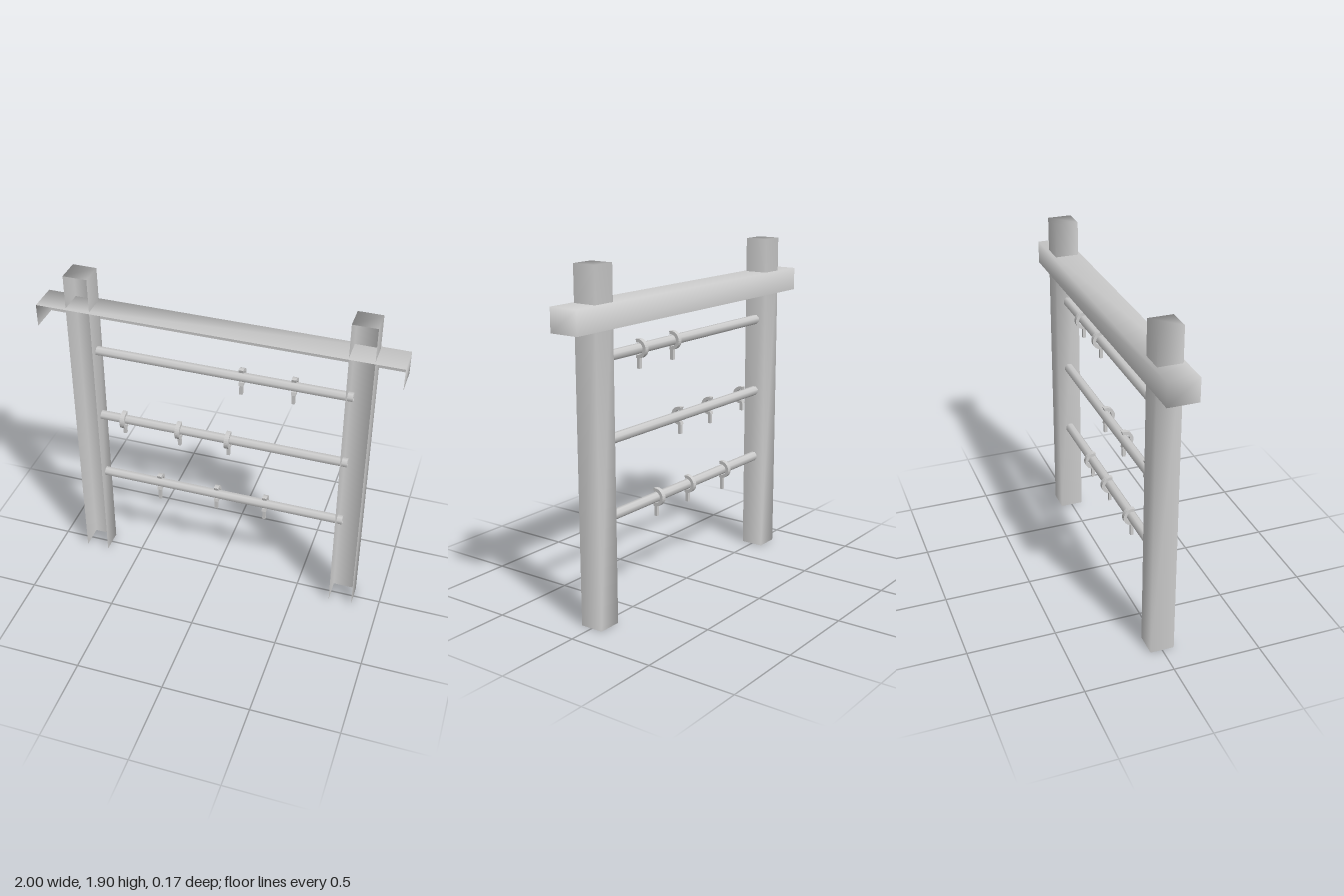
import * as THREE from 'three';
import { mergeVertices } from 'three/addons/utils/BufferGeometryUtils.js';

const material = new THREE.MeshStandardMaterial({ color: 0xcccccc, side: THREE.DoubleSide });

function add(parent, name, geometry, x, y, z) {
  const mesh = new THREE.Mesh(geometry, material);
  mesh.name = name;
  mesh.position.set(x, y, z);
  parent.add(mesh);
  return mesh;
}

// Softly shaded timber, a box shell open at the front and underneath
function timber(w, h, d) {
  const box = new THREE.BoxGeometry(w, h, d);
  const index = Array.from(box.index.array);
  index.splice(18, 12); // drop the -y and +z faces
  box.setIndex(index);
  box.deleteAttribute('normal');
  box.deleteAttribute('uv');
  const shell = mergeVertices(box);
  shell.computeVertexNormals();
  return shell;
}

// Eight-sided rail along x, without its bottom and lower front facets
function rail(length) {
  const g = new THREE.CylinderGeometry(0.028, 0.028, length, 6, 1, false, -Math.PI / 8, Math.PI * 1.5);
  return g.rotateZ(Math.PI / 2);
}

// C-shaped clip around a rail, its opening facing +z
function clip(width) {
  const shape = new THREE.Shape();
  const gap = THREE.MathUtils.degToRad(75);
  shape.absarc(0, 0, 0.052, gap, Math.PI * 2 - gap, false);
  shape.absarc(0, 0, 0.033, Math.PI * 2 - gap, gap, true);
  const g = new THREE.ExtrudeGeometry(shape, { depth: width, bevelEnabled: false, curveSegments: 8 });
  return g.translate(0, 0, -width / 2).rotateY(-Math.PI / 2);
}

export function createModel() {
  const model = new THREE.Group();
  model.name = 'hangingRack';

  // Frame
  const postGeometry = timber(0.135, 1.905, 0.135);
  add(model, 'rightPost', postGeometry, -0.767, 0.9525, 0);
  add(model, 'leftPost', postGeometry, 0.777, 0.9525, 0);
  add(model, 'topBeam', timber(2, 0.13, 0.17), 0, 1.645, 0);

  // Rails with hooks: each hook is [x, y of the stem's lower end]
  const rows = [
    { y: 1.426, turn: 0, hooks: [[0.13, 1.318], [0.42, 1.318]] },
    { y: 0.989, turn: Math.PI, hooks: [[-0.56, 0.895], [-0.23, 0.885], [0.06, 0.885]] },
    { y: 0.574, turn: 0, hooks: [[-0.36, 0.452], [-0.01, 0.47], [0.28, 0.465]] },
  ];
  const railGeometry = rail(1.45);
  const clipGeometry = clip(0.026);
  for (const { y, turn, hooks } of rows) {
    add(model, 'rail', railGeometry, 0.015, y, 0);
    for (const [x, low] of hooks) {
      const hook = new THREE.Group();
      hook.name = 'hook';
      hook.position.set(x, y, 0);
      hook.rotation.y = turn;
      add(hook, 'clip', clipGeometry, 0, 0, 0);
      const length = y - 0.04 - low;
      add(hook, 'stem', new THREE.BoxGeometry(0.018, length, 0.018), 0, -0.04 - length / 2, 0);
      model.add(hook);
    }
  }
  return model;
}
